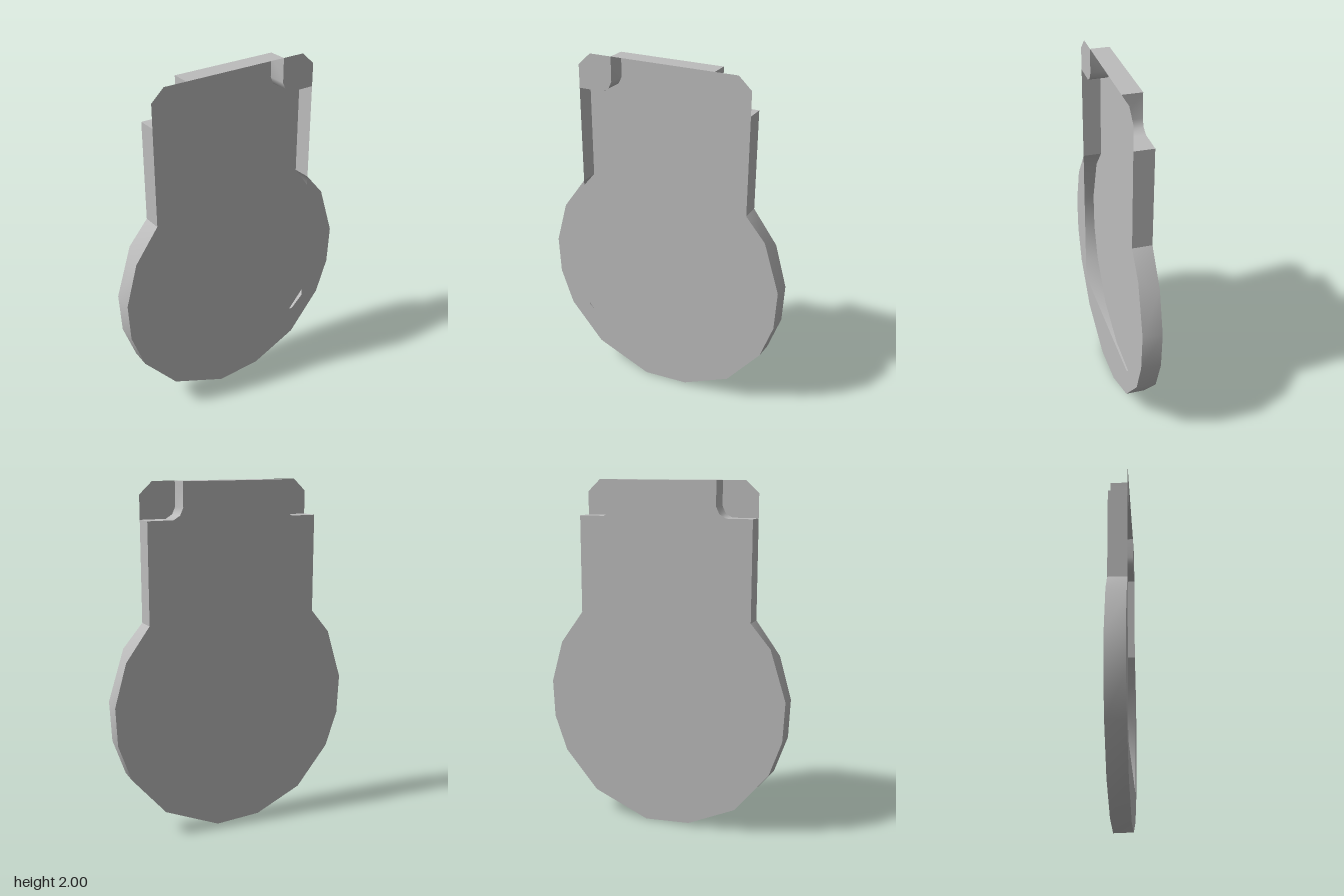
import * as THREE from 'three';

const HALF = 0.055; // half thickness

// Rounded lower body outline, clockwise from the right shoulder (front rim)
const bowl = [
  [0.515, 1.235], [0.63, 1.1], [0.722, 0.81], [0.71, 0.58], [0.637, 0.375], [0.44, 0.14], [0.16, 0.015],
  [-0.11, 0], [-0.44, 0.14], [-0.64, 0.37], [-0.715, 0.58], [-0.725, 0.8], [-0.655, 1.045], [-0.515, 1.235],
];
// Corner notch, from the top edge round to the side
const notch = [[0.308, 2], [0.308, 1.86], [0.327, 1.82], [0.365, 1.797], [0.515, 1.797]];

const mirror = (pts) => pts.map(([x, y]) => [-x, y]).reverse();

function flat(pts) {
  return new THREE.ShapeGeometry(new THREE.Shape(pts.map(([x, y]) => new THREE.Vector2(x, y))));
}

// Wall between a front path and a back path, both clockwise
function wall(front, back = front) {
  const pos = [], index = [];
  front.forEach(([x, y], i) => {
    pos.push(x, y, HALF, back[i][0], back[i][1], -HALF);
    if (i) {
      const a = 2 * i - 2, b = 2 * i;
      index.push(a, b, a + 1, b, b + 1, a + 1);
    }
  });
  const g = new THREE.BufferGeometry();
  g.setAttribute('position', new THREE.Float32BufferAttribute(pos, 3));
  g.setIndex(index);
  g.computeVertexNormals();
  return g;
}

export function createModel() {
  const group = new THREE.Group();
  const grey = new THREE.MeshStandardMaterial({ color: 0xbcbcbc, side: THREE.DoubleSide });
  grey.name = 'plain grey';
  const add = (name, geometry) => {
    const mesh = new THREE.Mesh(geometry, grey);
    mesh.name = name;
    group.add(mesh);
    return mesh;
  };

  // Back panel: full outline, turned to face backwards
  const back = flat([...notch, ...bowl, ...mirror(notch)]);
  back.rotateY(Math.PI).translate(0, 0, -HALF);
  add('backPanel', back);

  // Front rim around the open rectangular recess
  const rim = flat([...bowl, [-0.515, 0.39], [-0.44, 0.32], [0.44, 0.32], [0.515, 0.39]]);
  add('frontRim', rim.translate(0, 0, HALF));

  // Curved wall; its back edge is the mirrored outline
  add('bowlWall', wall(bowl, mirror(bowl)));
  add('topWall', wall([[-0.308, 2], [0.308, 2]]));

  // Chamfered corner tabs, notch walls and straight sides
  const tab = [...notch, [0.515, 1.93], [0.44, 2]];
  const side = [[0.515, 1.797], [0.515, 1.235]];
  for (const [label, fix] of [['left', (p) => p], ['right', mirror]]) {
    add(label + 'CornerTab', flat(fix(tab)).translate(0, 0, HALF));
    add(label + 'NotchWall', wall(fix(notch)));
    add(label + 'SideWall', wall(fix(side)));
  }
  return group;
}
